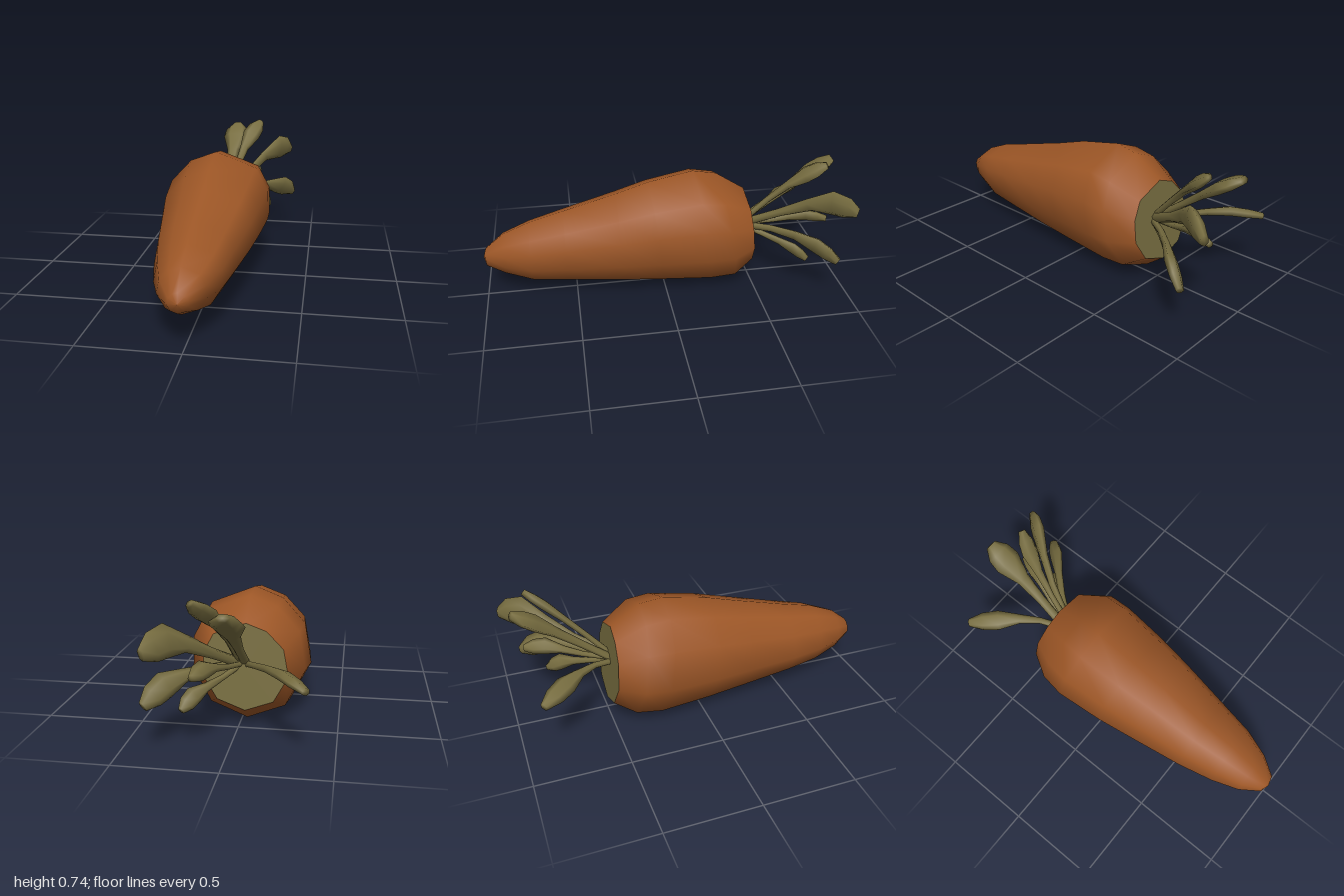
import * as THREE from 'three';

// Skin a list of equal-length point loops into one smooth surface
function skin(rings, material, name) {
  const n = rings[0].length, index = [];
  for (let i = 0; i < rings.length - 1; i++) {
    for (let j = 0; j < n; j++) {
      const k = (j + 1) % n;
      const a = i * n + j, b = i * n + k, c = a + n, d = b + n;
      index.push(a, c, b, b, c, d);
    }
  }
  const geo = new THREE.BufferGeometry();
  geo.setAttribute('position', new THREE.Float32BufferAttribute(rings.flat(2), 3));
  geo.setIndex(index);
  geo.computeVertexNormals();
  const mesh = new THREE.Mesh(geo, material);
  mesh.name = name;
  return mesh;
}

// Uneven ten-sided outline shared by every section of the root
const OUTLINE = [[0, 1], [-0.48, 0.83], [-0.875, 0.44], [-1, -0.18], [-0.66, -0.77],
  [0, -1], [0.66, -0.76], [0.99, -0.24], [0.99, 0.3], [0.76, 0.73]];

// Sections: z, top, bottom, min x, max x, lean
const SECTIONS = [
  [1.0, 0.24, 0.24, -0.02, -0.02, 0],
  [0.985, 0.29, 0.19, -0.07, 0.03, 0],
  [0.885, 0.37, 0.14, -0.14, 0.09, 0],
  [0.74, 0.43, 0.09, -0.19, 0.14, 0],
  [0.55, 0.48, 0.07, -0.235, 0.17, 0],
  [0.26, 0.56, 0.045, -0.285, 0.215, 0],
  [0.05, 0.615, 0.025, -0.32, 0.24, 0.03],
  [-0.215, 0.665, 0.005, -0.345, 0.262, 0.045],
  [-0.35, 0.645, 0.02, -0.325, 0.26, 0.05],
  [-0.483, 0.54, 0.1, -0.25, 0.18, 0.022],
];

function sectionRing([z, top, bottom, x0, x1, lean]) {
  return OUTLINE.map(([u, v]) => [
    (x0 + x1) / 2 + u * (x1 - x0) / 2,
    (top + bottom) / 2 + v * (top - bottom) / 2,
    z + lean * v,
  ]);
}

// Leaves: centre line after the crown, blade half width, width direction
const LEAVES = [
  { name: 'topLeaf', hw: 0.08, side: [1, 0, 0],
    path: [[-0.03, 0.34, -0.46], [-0.02, 0.5, -0.67], [-0.015, 0.62, -0.83], [-0.015, 0.695, -0.955]] },
  { name: 'tallLeaf', hw: 0.055, side: [0.8, -0.5, 0.2],
    path: [[0, 0.35, -0.46], [0.04, 0.53, -0.63], [0.09, 0.65, -0.76], [0.145, 0.73, -0.865]] },
  { name: 'upperLeftLeaf', hw: 0.08, side: [0.1, 1, 0.2],
    path: [[0.01, 0.34, -0.46], [0.13, 0.47, -0.7], [0.25, 0.56, -0.86], [0.335, 0.53, -0.99]] },
  { name: 'lowerLeftLeaf', hw: 0.065, side: [0.5, 0.8, 0],
    path: [[0.01, 0.33, -0.46], [0.15, 0.35, -0.64], [0.28, 0.33, -0.78], [0.365, 0.255, -0.9]] },
  { name: 'lowLeaf', hw: 0.045, side: [0.4, 0.8, 0.2],
    path: [[0, 0.32, -0.46], [0.09, 0.28, -0.6], [0.17, 0.25, -0.7], [0.22, 0.195, -0.78]] },
  { name: 'middleLeaf', hw: 0.045, side: [0.6, 0.7, 0],
    path: [[-0.01, 0.33, -0.46], [0.05, 0.37, -0.65], [0.1, 0.41, -0.78], [0.14, 0.4, -0.9]] },
  { name: 'rightLeaf', hw: 0.055, side: [0.7, 0.4, -0.6],
    path: [[-0.04, 0.33, -0.46], [-0.12, 0.37, -0.61], [-0.24, 0.385, -0.74], [-0.365, 0.36, -0.885]] },
];

// Narrow stalk that swells into a blunt six-sided blade
const SWELL = [[0, 0.32], [0.25, 0.33], [0.48, 0.5], [0.7, 1], [0.86, 0.9], [1, 0.4], [1, 0]];

function makeLeaf({ name, hw, side, path }, material) {
  const curve = new THREE.CatmullRomCurve3(path.map((p) => new THREE.Vector3(...p)));
  const rings = SWELL.map(([t, w]) => {
    const p = curve.getPoint(t), dir = curve.getTangent(t);
    const s = new THREE.Vector3(...side);
    s.addScaledVector(dir, -s.dot(dir)).normalize();
    const n = new THREE.Vector3().crossVectors(dir, s);
    const width = hw * w, thick = w === 0 ? 0 : 0.012 + 0.28 * width;
    return Array.from({ length: 6 }, (_, j) => {
      const a = -j * Math.PI / 3;
      return p.clone().addScaledVector(s, width * Math.cos(a))
        .addScaledVector(n, thick * Math.sin(a)).toArray();
    });
  });
  return skin(rings, material, name);
}

export function createModel() {
  const orange = new THREE.MeshStandardMaterial({ color: 0x9c5626 });
  orange.name = 'carrot orange';
  const green = new THREE.MeshStandardMaterial({ color: 0x776d40 });
  green.name = 'leaf green';

  const model = new THREE.Group();
  model.name = 'carrot';

  // Tapered root
  const rings = SECTIONS.map(sectionRing);
  model.add(skin(rings, orange, 'root'));

  // Flat green crown closing the thick end
  const rim = rings[rings.length - 1];
  model.add(skin([rim, rim.map(() => [-0.035, 0.32, -0.483])], green, 'crown'));

  // Leaves fanning out of the crown
  const leaves = new THREE.Group();
  leaves.name = 'leaves';
  LEAVES.forEach((leaf) => leaves.add(makeLeaf(leaf, green)));
  model.add(leaves);
  return model;
}
